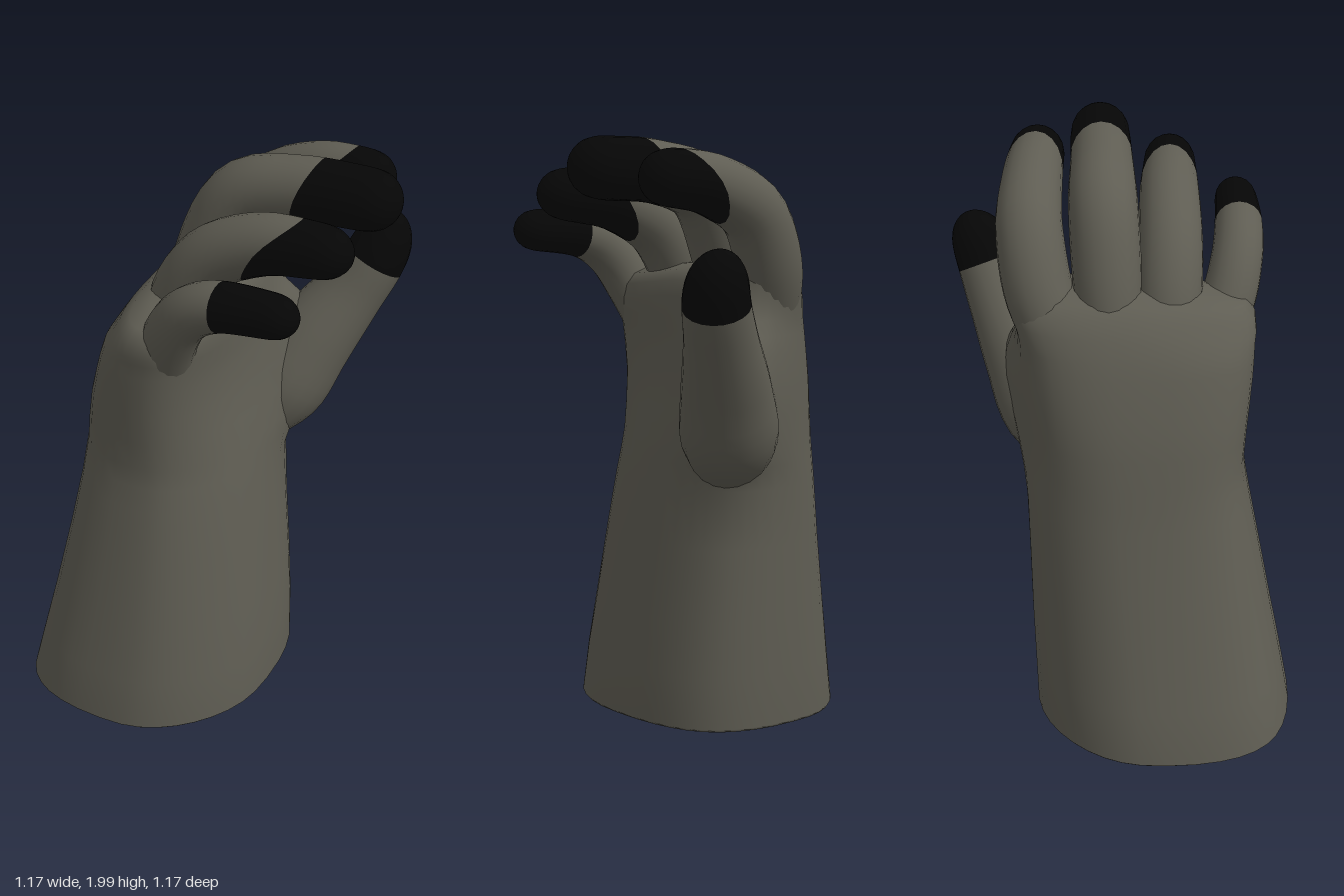
import * as THREE from 'three';

const fabric = new THREE.MeshStandardMaterial({ color: 0x5f5d53, side: THREE.DoubleSide });
fabric.name = 'grey fabric';
const rubber = new THREE.MeshStandardMaterial({ color: 0x060606, side: THREE.DoubleSide });
rubber.name = 'black fingertip';

// Skin a grid of closed rings; rows from blackRow upward take the second material
function skin(rows, cols, point, blackRow = rows) {
  const pos = [], index = [];
  for (let i = 0; i <= rows; i++) {
    for (let j = 0; j < cols; j++) pos.push(...point(i, (j / cols) * Math.PI * 2));
  }
  for (let i = 0; i < rows; i++) {
    for (let j = 0; j < cols; j++) {
      const k = (j + 1) % cols;
      const a = i * cols + j, b = i * cols + k, c = a + cols, d = b + cols;
      index.push(a, b, c, b, d, c);
    }
  }
  const g = new THREE.BufferGeometry();
  g.setAttribute('position', new THREE.Float32BufferAttribute(pos, 3));
  g.setIndex(index);
  g.computeVertexNormals();
  const split = blackRow * cols * 6;
  g.addGroup(0, split, 0);
  if (split < index.length) g.addGroup(split, index.length - split, 1);
  return g;
}

// Finger: stations are [x, y, z, radius]; the last station is the rounded tip.
// cut is where the black starts (0..1), dip lets it reach further on the palm side.
function finger(name, stations, cut, dip) {
  const path = new THREE.CatmullRomCurve3(
    stations.map(s => new THREE.Vector3(s[0], s[1], s[2])), false, 'catmullrom', 0.5);
  const radii = new THREE.CatmullRomCurve3(
    stations.map(s => new THREE.Vector3(s[3], 0, 0)), false, 'catmullrom', 0.5);
  const last = (stations.length - 2) / (stations.length - 1);
  const zAxis = new THREE.Vector3(0, 0, 1);
  const lower = 16, upper = 14;

  const point = (i, a) => {
    const c = cut - dip * (1 - Math.cos(a)) / 2;
    const u = i <= lower
      ? c * i / lower
      : c + (1 - c) * Math.sin(((i - lower) / upper) * Math.PI / 2);
    const t = path.getTangent(u);
    const n = new THREE.Vector3().crossVectors(zAxis, t).normalize();
    const b = new THREE.Vector3().crossVectors(t, n);
    const f = Math.max(0, (u - last) / (1 - last));
    const r = radii.getPoint(u).x * Math.sqrt(Math.max(0, 1 - f ** 3));
    return path.getPoint(u)
      .addScaledVector(n, r * Math.cos(a))
      .addScaledVector(b, r * Math.sin(a)).toArray();
  };
  const mesh = new THREE.Mesh(skin(lower + upper, 20, point, lower), [fabric, rubber]);
  mesh.name = name;
  return mesh;
}

// Sleeve and palm: [y, xMin, xMax, zMin, zMax, thumbBulge], from the inner hem round the rim and up
function sleeveAndPalm() {
  const sections = [
    [0.35, -0.48, 0.22, -0.29, 0.48, 0],
    [0.03, -0.565, 0.25, -0.295, 0.56, 0],
    [0.002, -0.58, 0.265, -0.315, 0.575, 0],
    [0.012, -0.59, 0.272, -0.32, 0.585, 0],
    [0.2, -0.548, 0.262, -0.325, 0.55, 0],
    [0.4, -0.503, 0.243, -0.33, 0.51, 0],
    [0.65, -0.45, 0.215, -0.333, 0.46, 0],
    [0.85, -0.412, 0.19, -0.335, 0.42, 0.01],
    [0.93, -0.4, 0.175, -0.33, 0.405, 0.08],
    [1.0, -0.388, 0.16, -0.325, 0.395, 0.14],
    [1.1, -0.373, 0.135, -0.32, 0.4, 0.2],
    [1.2, -0.352, 0.112, -0.32, 0.407, 0.22],
    [1.3, -0.322, 0.104, -0.325, 0.415, 0.18],
    [1.36, -0.303, 0.105, -0.33, 0.418, 0.13],
    [1.41, -0.284, 0.11, -0.338, 0.42, 0.07],
    [1.48, -0.253, 0.112, -0.36, 0.425, 0],
    [1.53, -0.218, 0.105, -0.37, 0.42, 0],
    [1.565, -0.18, 0.08, -0.355, 0.39, 0],
    [1.585, -0.13, 0.03, -0.27, 0.3, 0],
    [1.59, -0.06, -0.04, -0.1, 0.1, 0],
  ];
  const squared = (v, power) => Math.sign(v) * Math.abs(v) ** power;
  const point = (i, a) => {
    const [y, x0, x1, z0, z1, bulge] = sections[i];
    // Fuller on the thumb diagonal below, evenly boxy toward the knuckles
    const upper = THREE.MathUtils.smoothstep(y, 0.9, 1.45);
    const power = 0.84 - 0.06 * upper - 0.11 * (1 - upper) * Math.sin(2 * a);
    const ball = 0.65 * bulge * Math.exp(-(((a - 4.05) / 0.62) ** 2));
    const x = (x0 + x1) / 2 - (x1 - x0) / 2 * squared(Math.cos(a), power) + ball;
    const z = (z0 + z1) / 2 + (z1 - z0) / 2 * squared(Math.sin(a), power) - ball;
    // The rim rises slightly toward the palm side, the knuckle line drops toward the little finger
    const rim = Math.max(0, 1 - y / 0.4) * 0.035 * (1 - Math.cos(a)) / 2;
    const knuckle = y > 1.45 ? -0.1 * Math.max(0, z) : 0;
    return [x, y + rim + knuckle, z];
  };
  const mesh = new THREE.Mesh(skin(sections.length - 1, 40, point), [fabric]);
  mesh.name = 'sleeveAndPalm';
  return mesh;
}

export function createModel() {
  const glove = new THREE.Group();
  glove.name = 'glove';
  glove.add(sleeveAndPalm());

  glove.add(finger('indexFinger', [
    [-0.1, 1.38, -0.22, 0.1], [-0.055, 1.57, -0.282, 0.112], [0.04, 1.75, -0.308, 0.108],
    [0.2, 1.838, -0.3, 0.1], [0.35, 1.864, -0.288, 0.092], [0.475, 1.86, -0.28, 0.086],
  ], 0.79, 0.26));

  glove.add(finger('middleFinger', [
    [-0.12, 1.38, -0.05, 0.1], [-0.06, 1.62, -0.06, 0.112], [0.05, 1.82, -0.07, 0.112],
    [0.25, 1.884, -0.072, 0.103], [0.45, 1.895, -0.075, 0.1], [0.585, 1.9, -0.075, 0.092],
  ], 0.67, 0.1));

  glove.add(finger('ringFinger', [
    [-0.1, 1.36, 0.13, 0.1], [-0.045, 1.55, 0.14, 0.108], [0.06, 1.7, 0.148, 0.104],
    [0.23, 1.785, 0.15, 0.098], [0.4, 1.81, 0.157, 0.088], [0.535, 1.815, 0.16, 0.08],
  ], 0.76, 0.27));

  glove.add(finger('littleFinger', [
    [-0.06, 1.3, 0.26, 0.09], [0.01, 1.49, 0.335, 0.09], [0.09, 1.61, 0.368, 0.085],
    [0.2, 1.672, 0.38, 0.08], [0.36, 1.69, 0.383, 0.072], [0.47, 1.69, 0.383, 0.066],
  ], 0.63, 0.03));

  glove.add(finger('thumb', [
    [0.02, 0.88, -0.16, 0.09], [0.1, 1.03, -0.26, 0.16], [0.185, 1.2, -0.338, 0.147],
    [0.285, 1.37, -0.42, 0.118], [0.355, 1.51, -0.475, 0.105], [0.38, 1.65, -0.535, 0.085],
  ], 0.76, 0));

  return glove;
}
